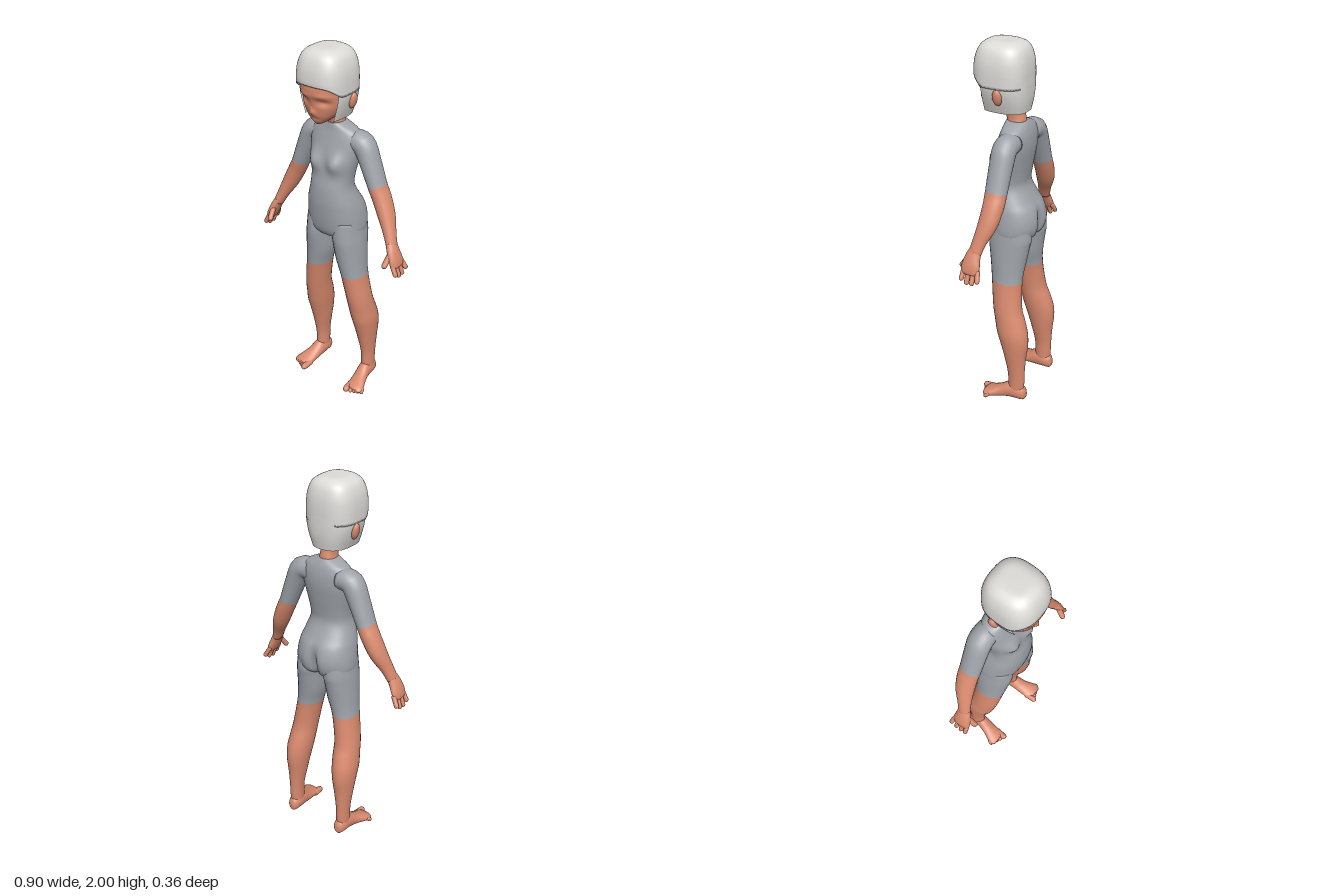
import * as THREE from 'three';

const skin = new THREE.MeshStandardMaterial({ color: 0xd98a6e });
skin.name = 'skin';
const suit = new THREE.MeshStandardMaterial({ color: 0x9fa4aa });
suit.name = 'grey suit';
const hair = new THREE.MeshStandardMaterial({ color: 0xdddcd9, side: THREE.DoubleSide });
hair.name = 'pale hair';

const X = new THREE.Vector3(1, 0, 0), Y = new THREE.Vector3(0, 1, 0), Z = new THREE.Vector3(0, 0, 1);
const bump = (d, r) => Math.exp(-(d * d) / (r * r));
const spow = (v, p) => Math.sign(v) * Math.abs(v) ** p;

// Catmull-Rom blend of ring rows into a denser list
function refine(rings, k) {
  const out = [], at = i => rings[Math.min(Math.max(i, 0), rings.length - 1)];
  for (let i = 0; i < rings.length - 1; i++) {
    for (let s = 0; s < k; s++) {
      const t = s / k, [a, b, c, d] = [at(i - 1), at(i), at(i + 1), at(i + 2)];
      out.push(b.map((_, n) => 0.5 * (2 * b[n] + (c[n] - a[n]) * t
        + (2 * a[n] - 5 * b[n] + 4 * c[n] - d[n]) * t * t
        + (3 * b[n] - a[n] - 3 * c[n] + d[n]) * t * t * t)));
    }
  }
  out.push(at(rings.length - 1));
  return out;
}

// Skin through rings [x, y, z, radiusU, radiusV, exponent]
// mode: 'down' = level rings listed top down, 'front' = upright rings listed back to front,
// 'follow' = rings square to the path. split = ring where the second material starts.
function loft(name, rings, mats, { mode = 'down', seg = 28, k = 4, split, warp, arc } = {}) {
  const rows = refine(rings, k), pos = [], idx = [], p = new THREE.Vector3();
  const per = arc ? seg + 1 : seg;
  rows.forEach(([x, y, z, ru, rv, n = 2], i) => {
    let u = X, v = mode === 'front' ? Y : Z;
    if (mode === 'follow') {
      const a = rows[Math.max(i - 1, 0)], b = rows[Math.min(i + 1, rows.length - 1)];
      const d = new THREE.Vector3(b[0] - a[0], b[1] - a[1], b[2] - a[2]).normalize();
      u = new THREE.Vector3().crossVectors(Z, d).normalize();
      v = new THREE.Vector3().crossVectors(d, u);
    }
    for (let j = 0; j < per; j++) {
      const t = arc ? arc[0] + (arc[1] - arc[0]) * j / seg : j / seg * Math.PI * 2;
      p.set(x, y, z).addScaledVector(u, ru * spow(Math.cos(t), 2 / n)).addScaledVector(v, rv * spow(Math.sin(t), 2 / n));
      if (warp) warp(p);
      pos.push(p.x, p.y, p.z);
    }
  });
  const last = (rows.length - 1) * per, c0 = rows.length * per;
  for (const r of [rows[0], rows[rows.length - 1]]) {
    p.set(r[0], r[1], r[2]);
    if (warp) warp(p);
    pos.push(p.x, p.y, p.z);
  }
  const cap = (c, base, flip) => {
    for (let j = 0; j < seg; j++) {
      const a = base + j, b = base + (j + 1) % per;
      idx.push(c, flip ? b : a, flip ? a : b);
    }
  };
  if (!arc) cap(c0, 0, true);
  let cut = 0;
  for (let i = 0; i < rows.length - 1; i++) {
    if (split && i === split * k) cut = idx.length;
    for (let j = 0; j < seg; j++) {
      const a = i * per + j, b = i * per + (j + 1) % per;
      idx.push(a, b, a + per, b, b + per, a + per);
    }
  }
  if (!arc) cap(c0 + 1, last, false);
  const g = new THREE.BufferGeometry();
  g.setAttribute('position', new THREE.Float32BufferAttribute(pos, 3));
  g.setIndex(idx);
  if (split) {
    g.addGroup(0, cut, 0);
    g.addGroup(cut, idx.length - cut, 1);
  }
  g.computeVertexNormals();
  const m = new THREE.Mesh(g, mats);
  m.name = name;
  return m;
}

// Level ring from height, half width, front z, back z
const level = ([y, w, f, b, n = 2.2]) => [0, y, (f + b) / 2, w, (f - b) / 2, n];

function capsule(name, a, b, r) {
  const A = new THREE.Vector3(...a), B = new THREE.Vector3(...b), d = B.clone().sub(A);
  const m = new THREE.Mesh(new THREE.CapsuleGeometry(r, d.length(), 5, 10), skin);
  m.position.copy(A).add(B).multiplyScalar(0.5);
  m.quaternion.setFromUnitVectors(Y, d.normalize());
  m.name = name;
  return m;
}

function makeHead() {
  const g = new THREE.Group();
  g.name = 'head';
  // Face with eye sockets, brow, nose and lips
  g.add(loft('face', [[1.9, 0.1, 0.155, -0.06], [1.84, 0.114, 0.172, -0.07], [1.8, 0.115, 0.174, -0.07], [1.76, 0.114, 0.166, -0.07],
    [1.72, 0.104, 0.156, -0.06], [1.68, 0.076, 0.148, -0.01], [1.65, 0.043, 0.136, 0.04], [1.635, 0.018, 0.126, 0.08]].map(level), skin, {
    seg: 64, k: 6, warp: p => {
      if (p.z < 0.06) return;
      const x = Math.abs(p.x);
      p.z -= 0.016 * bump(x - 0.055, 0.032) * bump(p.y - 1.757, 0.018);
      p.z += 0.005 * bump(x - 0.055, 0.04) * bump(p.y - 1.79, 0.012);
      p.z += 0.016 * bump(x, 0.014) * bump(p.y - 1.703, 0.018);
      p.z -= 0.005 * bump(x, 0.025) * bump(p.y - 1.668, 0.007);
    },
  }));
  // Crown with a raised fringe edge over the brow
  g.add(loft('hairCap', [[2, 0.035, 0.085, -0.01], [1.995, 0.072, 0.12, -0.045], [1.97, 0.108, 0.153, -0.078], [1.92, 0.128, 0.174, -0.096],
    [1.86, 0.135, 0.182, -0.102], [1.79, 0.135, 0.181, -0.102]].map(r => level([...r, 2.7])), hair, {
    seg: 48, warp: p => {
      const t = THREE.MathUtils.clamp((1.86 - p.y) / 0.07, 0, 1);
      p.y += t * 0.048 * THREE.MathUtils.smoothstep(p.z, 0.09, 0.18);
    },
  }));
  // Bob around the sides and back, open at the face
  g.add(loft('hairBob', [[1.85, 0.135, 0.165, -0.102], [1.78, 0.132, 0.162, -0.103], [1.72, 0.117, 0.16, -0.1],
    [1.66, 0.096, 0.155, -0.09]].map(r => level([...r, 2.6])), hair, { seg: 40, arc: [Math.PI - 0.54, Math.PI * 2 + 0.54] }));
  for (const s of [1, -1]) {
    const ear = new THREE.Mesh(new THREE.SphereGeometry(1, 16, 12), skin);
    ear.scale.set(0.016, 0.042, 0.025);
    ear.position.set(s * 0.13, 1.75, 0.012);
    ear.rotation.z = -s * 0.2;
    ear.name = 'ear';
    g.add(ear);
  }
  return g;
}

function makeArm(s) {
  const g = new THREE.Group();
  g.name = s > 0 ? 'leftArm' : 'rightArm';
  const side = r => [s * r[0], ...r.slice(1)];
  g.add(loft('sleeveAndForearm', [[0.09, 1.52, -0.045, 0.055, 0.06], [0.155, 1.51, -0.045, 0.058, 0.062], [0.197, 1.43, -0.045, 0.052, 0.06],
    [0.246, 1.31, -0.045, 0.045, 0.057], [0.275, 1.25, -0.045, 0.045, 0.055], [0.313, 1.17, -0.035, 0.042, 0.05],
    [0.352, 1.09, -0.012, 0.031, 0.037], [0.378, 1.03, 0.003, 0.025, 0.034]].map(side), [suit, skin], { mode: 'follow', split: 3 }));
  g.add(loft('palm', [[0.37, 1.05, 0, 0.024, 0.032], [0.39, 1.01, 0.008, 0.024, 0.042], [0.408, 0.97, 0.01, 0.022, 0.05],
    [0.42, 0.938, 0.01, 0.016, 0.047], [0.422, 0.93, 0.01, 0.008, 0.035]].map(side), skin, { mode: 'follow', seg: 20 }));
  const drop = [0.905, 0.89, 0.892, 0.91];
  drop.forEach((y, i) => {
    const z = 0.046 - i * 0.026;
    g.add(capsule('finger', [s * 0.413, 0.95, z], [s * 0.436, y, z * 1.15 - 0.004], 0.0125));
  });
  g.add(capsule('thumb', [s * 0.39, 1.0, 0.035], [s * 0.383, 0.95, 0.072], 0.015));
  return g;
}

function makeLeg(s) {
  const g = new THREE.Group();
  g.name = s > 0 ? 'leftLeg' : 'rightLeg';
  const side = r => [s * r[0], ...r.slice(1)];
  g.add(loft('shortsAndLeg', [[0.085, 1.08, -0.035, 0.07, 0.11], [0.085, 1, -0.037, 0.079, 0.118], [0.09, 0.95, -0.034, 0.079, 0.113],
    [0.1, 0.85, -0.033, 0.077, 0.097], [0.118, 0.75, -0.035, 0.067, 0.085], [0.142, 0.6, -0.05, 0.066, 0.08],
    [0.15, 0.52, -0.07, 0.067, 0.085], [0.157, 0.45, -0.087, 0.067, 0.088], [0.16, 0.38, -0.1, 0.06, 0.08],
    [0.162, 0.3, -0.107, 0.05, 0.064], [0.165, 0.2, -0.115, 0.037, 0.05], [0.165, 0.13, -0.117, 0.034, 0.047],
    [0.165, 0.06, -0.115, 0.033, 0.045]].map(side), [suit, skin], { split: 4 }));
  g.add(loft('foot', [[0.163, 0.055, -0.175, 0.014, 0.02], [0.164, 0.06, -0.162, 0.028, 0.04], [0.165, 0.065, -0.13, 0.036, 0.047],
    [0.167, 0.065, -0.08, 0.037, 0.052], [0.175, 0.046, -0.03, 0.041, 0.038], [0.187, 0.032, 0.02, 0.05, 0.027],
    [0.19, 0.026, 0.05, 0.05, 0.02], [0.19, 0.024, 0.065, 0.038, 0.013]].map(side), skin, { mode: 'front' }));
  for (let i = 0; i < 5; i++) {
    const x = 0.152 + i * 0.019 + (i ? 0.005 : 0), r = i ? 0.012 : 0.018;
    g.add(capsule('toe', [s * x, 0.026, 0.03], [s * (x + 0.004), r + 0.004, 0.078 - i * 0.009], r));
  }
  return g;
}

export function createModel() {
  const root = new THREE.Group();
  root.name = 'figure';
  root.add(makeHead());
  root.add(loft('neck', [[1.71, 0.042, 0.05, -0.06], [1.65, 0.04, 0.035, -0.068], [1.62, 0.04, 0.025, -0.075],
    [1.58, 0.05, 0.015, -0.08]].map(level), skin));
  // Torso with chest and seat shaping
  root.add(loft('torso', [[1.608, 0.043, 0.024, -0.078], [1.595, 0.075, 0.026, -0.088], [1.57, 0.125, 0.03, -0.1], [1.53, 0.147, 0.042, -0.11],
    [1.47, 0.143, 0.06, -0.113], [1.4, 0.13, 0.075, -0.105], [1.33, 0.117, 0.087, -0.095], [1.27, 0.116, 0.1, -0.093],
    [1.2, 0.137, 0.105, -0.128], [1.15, 0.15, 0.103, -0.16], [1.08, 0.16, 0.096, -0.176], [1.02, 0.16, 0.084, -0.165],
    [0.985, 0.135, 0.06, -0.135], [0.965, 0.07, 0.02, -0.08]].map(level), suit, {
    seg: 56, warp: p => {
      const x = Math.abs(p.x);
      if (p.z > 0.01) p.z += 0.03 * bump(x - 0.065, 0.042) * bump(p.y - 1.41, 0.045);
      if (p.z < -0.05) p.z += 0.042 * bump(x, 0.022) * bump(p.y - 1.05, 0.085);
    },
  }));
  for (const s of [1, -1]) root.add(makeArm(s), makeLeg(s));
  return root;
}
